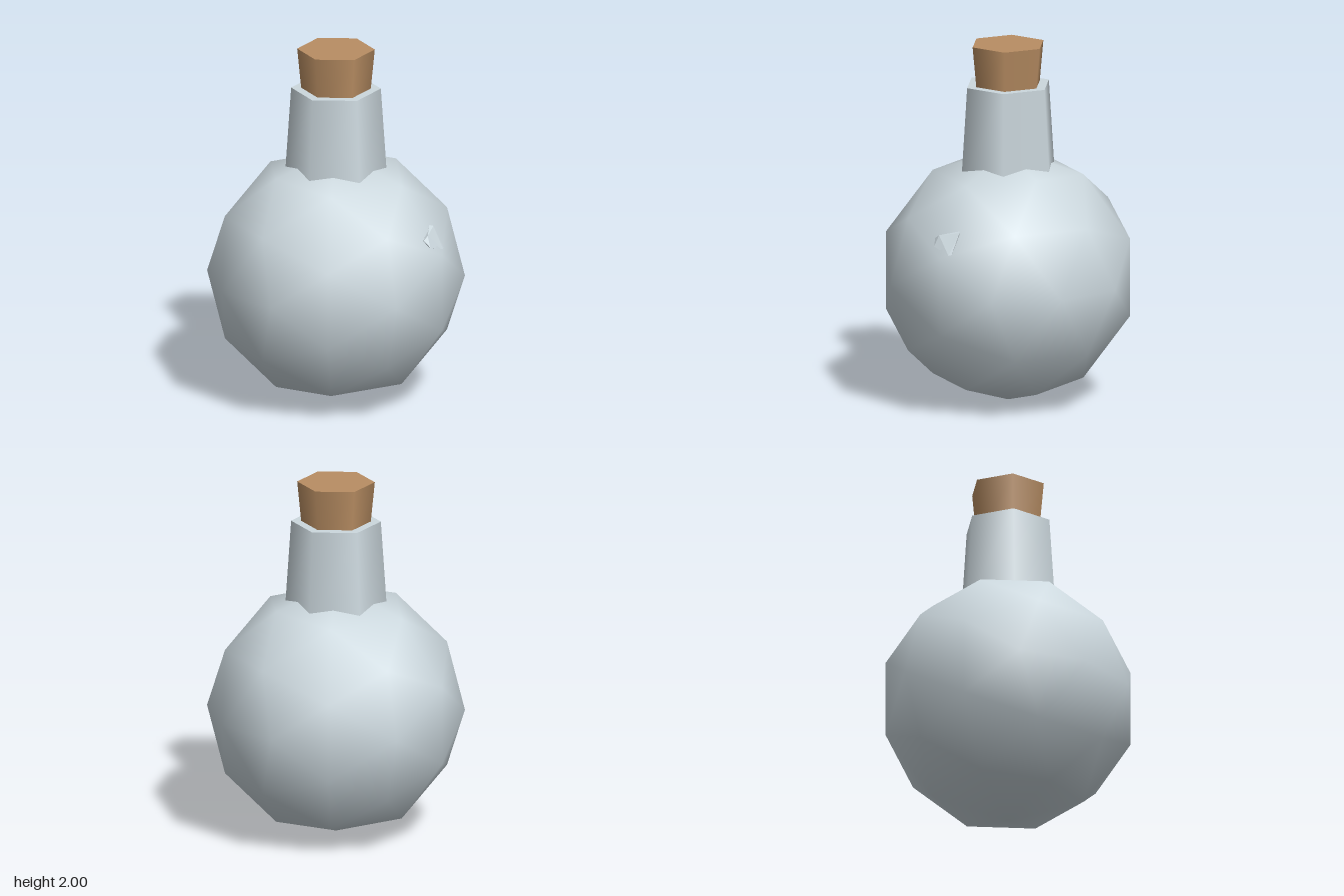
import * as THREE from 'three';
import { ConvexGeometry } from 'three/addons/geometries/ConvexGeometry.js';

export function createModel() {
  const model = new THREE.Group();
  model.name = 'bottle';

  const glass = new THREE.MeshStandardMaterial({ color: 0xccd8de });
  glass.name = 'pale glass';
  const corkBrown = new THREE.MeshStandardMaterial({ color: 0xb98e63 });
  corkBrown.name = 'cork brown';

  function add(name, geometry, material, y = 0) {
    const mesh = new THREE.Mesh(geometry, material);
    mesh.name = name;
    mesh.position.y = y;
    model.add(mesh);
  }

  // Six-sided tapered part, given by its bottom and top heights and radii
  function taper(name, y0, r0, y1, r1, material) {
    add(name, new THREE.CylinderGeometry(r1, r0, y1 - y0, 6), material, (y0 + y1) / 2);
  }

  // Round faceted body with smooth shading
  add('body', new THREE.IcosahedronGeometry(0.705, 1), glass, 0.71);

  // Neck sunk into the body, with the stopper in its mouth
  taper('neck', 1.22, 0.282, 1.775, 0.245, glass);
  taper('cork', 1.7, 0.183, 2, 0.212, corkBrown);

  // Small glint chip standing out of the body's front left
  const chip = [
    [0.34, 1.065, 0.445], [0.36, 1.06, 0.455], // upper edge
    [0.39, 0.95, 0.515], [0.38, 0.945, 0.53], // lower corner
    [0.25, 1.02, 0.55], [0.28, 0.98, 0.57], [0.28, 1.04, 0.54], // blunt tip
    [0.26, 0.93, 0.4], // root inside the body
  ].map((p) => new THREE.Vector3(...p));
  add('glintChip', new ConvexGeometry(chip), glass);

  return model;
}
